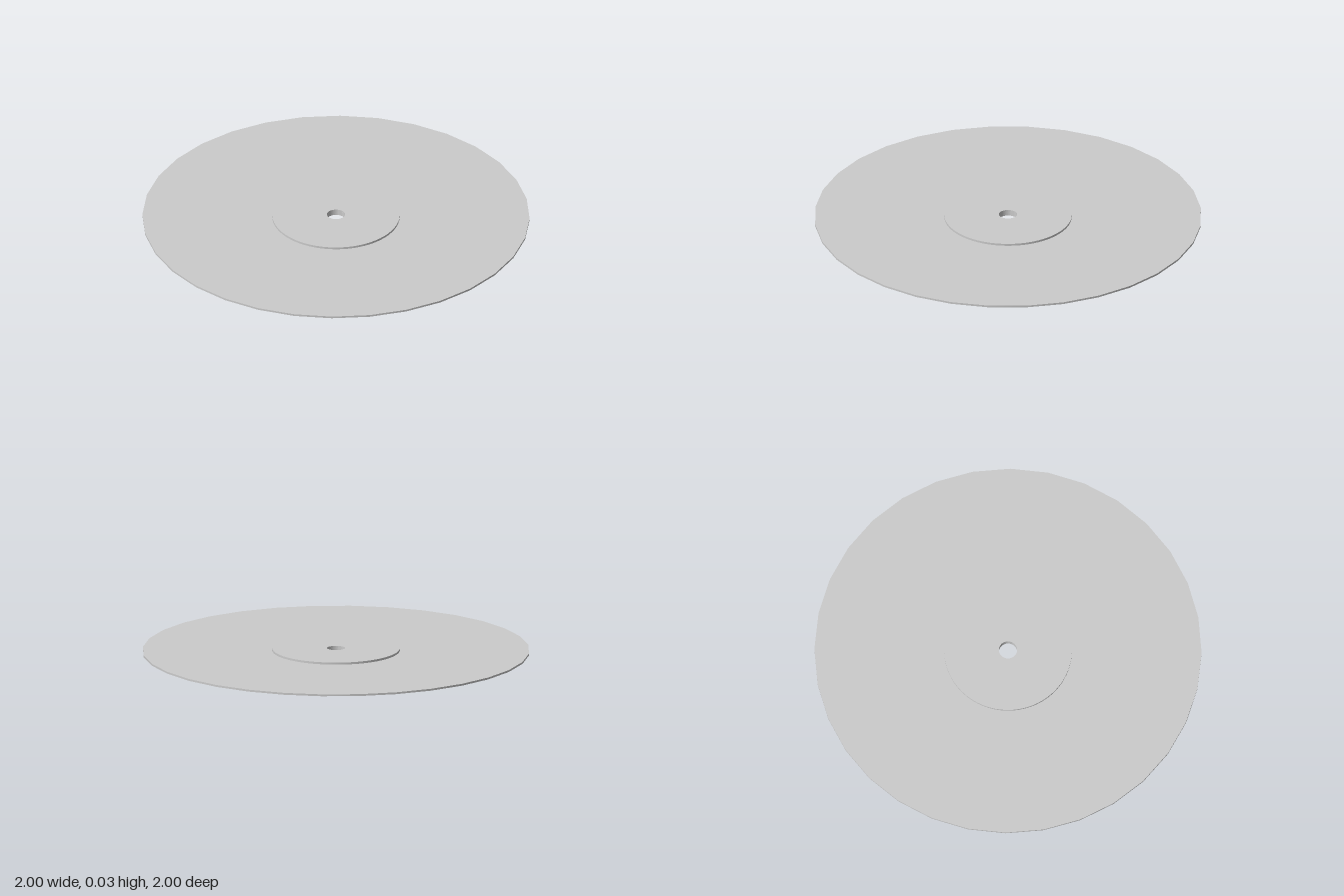
import * as THREE from 'three';
import { toCreasedNormals } from 'three/addons/utils/BufferGeometryUtils.js';

const HOLE = 0.047;

// Flat ring with a square section, turned around the y axis
function ring(name, radius, bottom, top, sides) {
  const profile = [
    [HOLE, bottom], [radius, bottom], [radius, top], [HOLE, top], [HOLE, bottom],
  ].map(([x, y]) => new THREE.Vector2(x, y));
  const geometry = toCreasedNormals(new THREE.LatheGeometry(profile, sides), Math.PI / 6);
  const mesh = new THREE.Mesh(geometry, new THREE.MeshStandardMaterial({ color: 0xcccccc }));
  mesh.name = name;
  return mesh;
}

export function createModel() {
  const group = new THREE.Group();
  group.name = 'record';

  // Thin 32-sided disc
  group.add(ring('disc', 1, 0.011, 0.021, 32));

  // Raised round labels on both faces
  group.add(ring('topLabel', 0.33, 0.021, 0.032, 64));
  group.add(ring('bottomLabel', 0.33, 0, 0.011, 64));

  return group;
}
